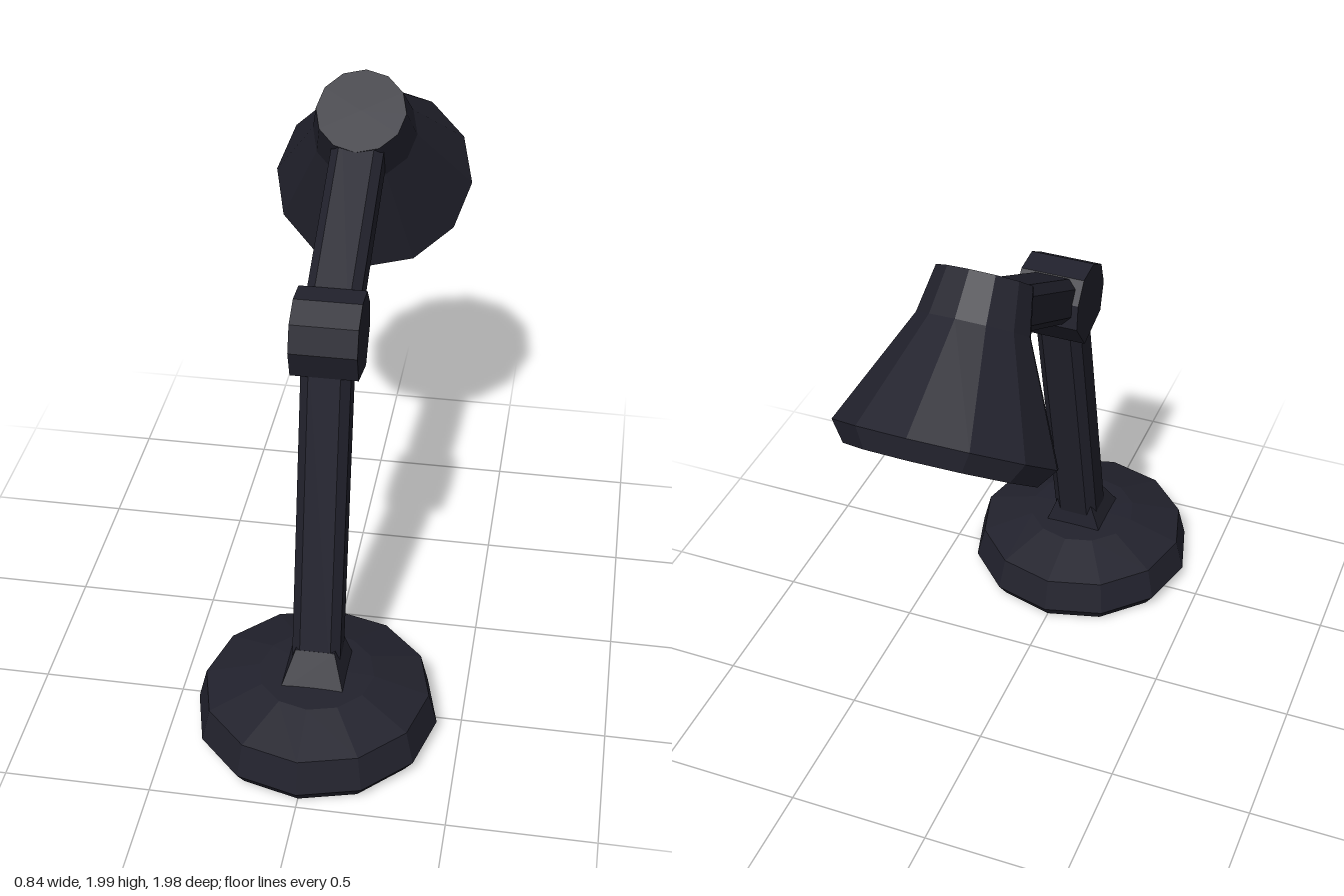
import * as THREE from 'three';

const darkMetal = new THREE.MeshStandardMaterial({ color: 0x22222d });
darkMetal.name = 'darkMetal';
darkMetal.flatShading = true;

const points = (list) => list.map(([x, y]) => new THREE.Vector2(x, y));

function part(name, geometry, parent) {
  const mesh = new THREE.Mesh(geometry, darkMetal);
  mesh.name = name;
  parent.add(mesh);
  return mesh;
}

// Bar with a chamfered rectangular section, running between two points
function bar(name, from, to, halfW, halfH, parent) {
  const c = 0.03;
  const section = new THREE.Shape(points([
    [halfW, -halfH + c], [halfW, halfH - c], [halfW - c, halfH], [-halfW + c, halfH],
    [-halfW, halfH - c], [-halfW, -halfH + c], [-halfW + c, -halfH], [halfW - c, -halfH],
  ]));
  const depth = from.distanceTo(to);
  const mesh = part(name, new THREE.ExtrudeGeometry(section, { depth, bevelEnabled: false }), parent);
  mesh.position.copy(from);
  mesh.lookAt(to);
}

export function createModel() {
  const lamp = new THREE.Group();
  lamp.name = 'deskLamp';

  // Heavy round base
  const base = part('base', new THREE.LatheGeometry(points([
    [0, 0], [0.385, 0], [0.42, 0.05], [0.39, 0.17], [0.2, 0.23], [0, 0.24],
  ]), 12), lamp);
  base.position.z = 0.575;

  // Tapered foot, its top leaning toward the arm
  const footGeo = new THREE.CylinderGeometry(0.095, 0.16, 0.13, 4, 1).rotateY(Math.PI / 4);
  const p = footGeo.attributes.position;
  for (let i = 0; i < p.count; i++) {
    if (p.getY(i) > 0) p.setZ(i, p.getZ(i) - 0.035);
  }
  part('foot', footGeo, lamp).position.set(0, 0.275, 0.575);

  // Arms
  bar('lowerArm', new THREE.Vector3(0, 0.26, 0.55), new THREE.Vector3(0, 1.36, 0.3), 0.083, 0.073, lamp);
  bar('upperArm', new THREE.Vector3(0, 1.43, 0.24), new THREE.Vector3(0, 1.77, -0.38), 0.09, 0.078, lamp);

  // Faceted elbow block, extruded across x
  const outline = new THREE.Shape(points([
    [-0.42, 1.41], [-0.39, 1.31], [-0.23, 1.27], [-0.145, 1.38],
    [-0.155, 1.47], [-0.21, 1.54], [-0.31, 1.548], [-0.39, 1.5],
  ]));
  const elbowGeo = new THREE.ExtrudeGeometry(outline, { depth: 0.225, bevelEnabled: false });
  part('elbow', elbowGeo.translate(0, 0, -0.1125).rotateY(Math.PI / 2), lamp);

  // Tilted head; local -y is the direction the light points
  const head = new THREE.Group();
  head.name = 'head';
  head.position.set(0, 1.89, -0.38);
  head.rotation.x = 0.675;
  lamp.add(head);

  // Hollow shade: inner wall down to the rim, then outer wall up to the cap
  part('shade', new THREE.LatheGeometry(points([
    [0, -0.16], [0.14, -0.16], [0.27, -0.48], [0.309, -0.585],
    [0.358, -0.522], [0.182, -0.153], [0.155, 0], [0, 0],
  ]), 12), head);

  // Bulb
  part('bulb', new THREE.SphereGeometry(0.14, 8, 6), head).position.y = -0.34;

  return lamp;
}
